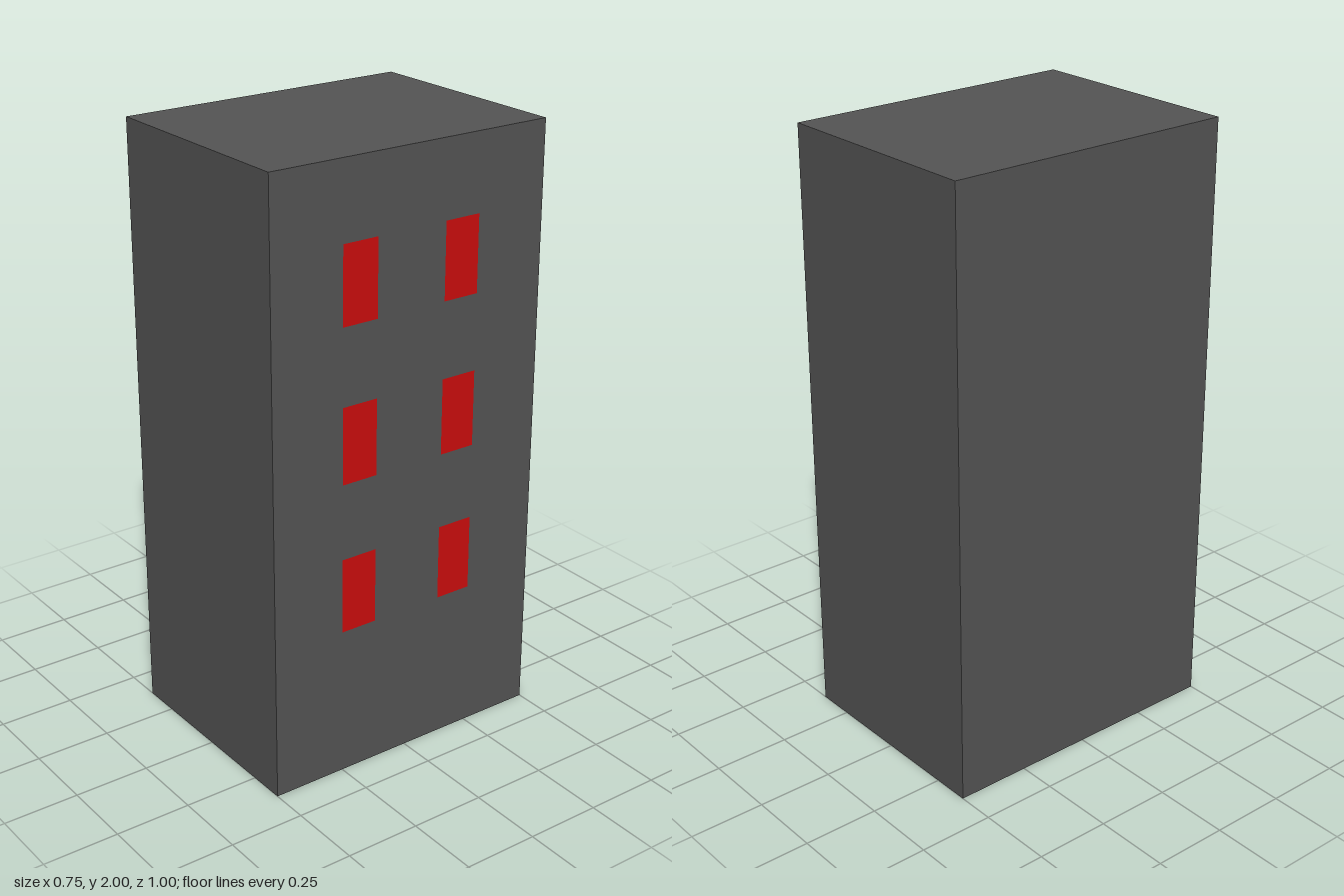
import * as THREE from 'three';

const WIDTH = 0.75, HEIGHT = 2, DEPTH = 1;

export function createModel() {
  const model = new THREE.Group();
  model.name = 'towerBlock';

  const wallGrey = new THREE.MeshStandardMaterial({ color: 0x545454 });
  wallGrey.name = 'wallGrey';
  const windowRed = new THREE.MeshStandardMaterial({ color: 0xcc0d0d });
  windowRed.name = 'windowRed';

  // Plain rectangular tower
  const tower = new THREE.Mesh(new THREE.BoxGeometry(WIDTH, HEIGHT, DEPTH), wallGrey);
  tower.name = 'tower';
  tower.position.y = HEIGHT / 2;
  model.add(tower);

  // Three storeys of paired windows on the +x wall only
  const windows = new THREE.Group();
  windows.name = 'windows';
  const pane = new THREE.PlaneGeometry(0.125, 0.25).rotateY(Math.PI / 2);
  for (const y of [0.625, 1.125, 1.625]) {
    for (const z of [-0.1875, 0.1875]) {
      const mesh = new THREE.Mesh(pane, windowRed);
      mesh.name = 'window';
      mesh.position.set(WIDTH / 2 + 0.001, y, z);
      windows.add(mesh);
    }
  }
  model.add(windows);

  return model;
}
